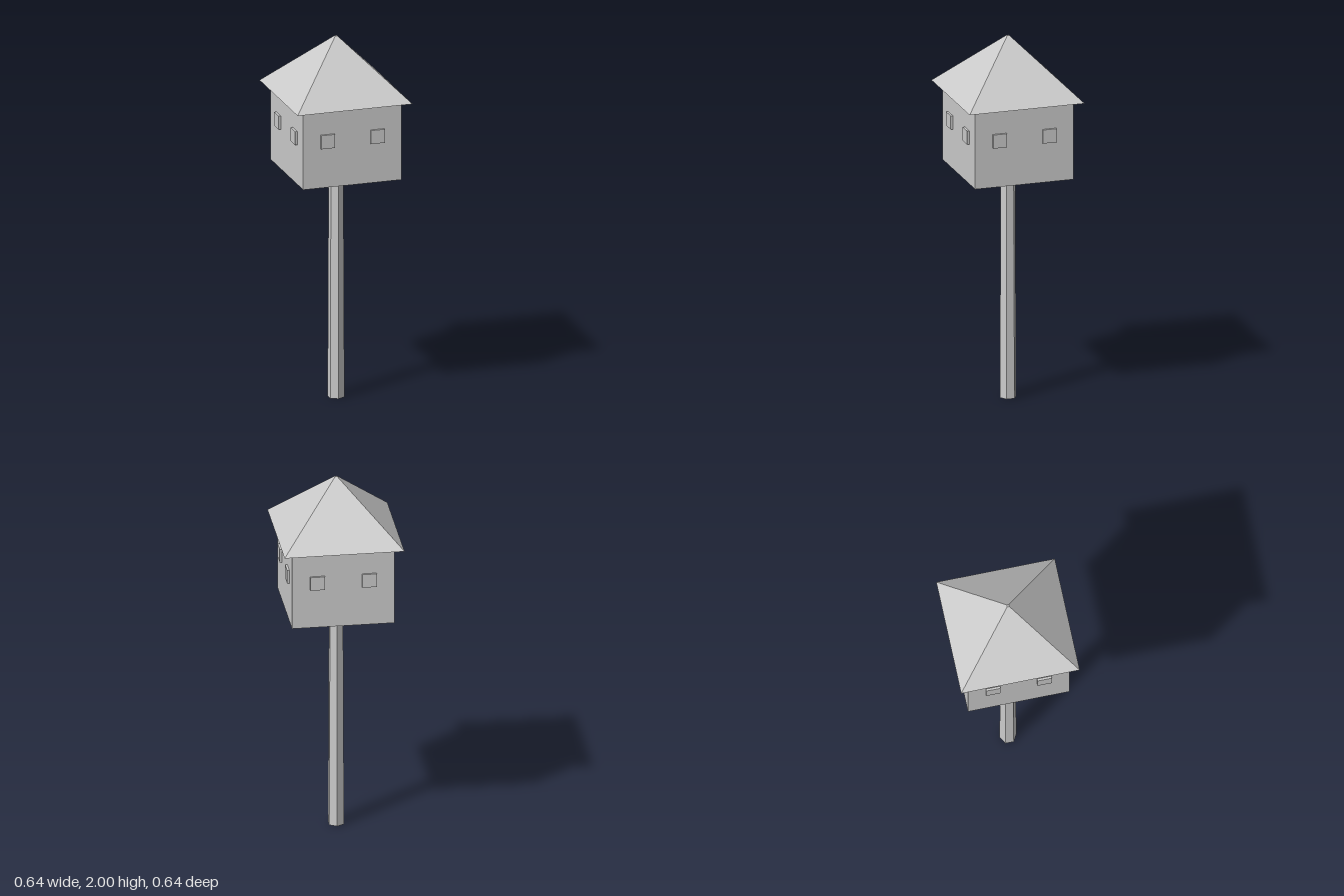
import * as THREE from 'three';

export function createModel() {
  const group = new THREE.Group();
  const material = new THREE.MeshStandardMaterial({ color: 0xcccccc, flatShading: true });

  const add = (name, geometry, parent = group) => {
    const mesh = new THREE.Mesh(geometry, material);
    mesh.name = name;
    parent.add(mesh);
    return mesh;
  };

  const floorY = 1.258, eavesY = 1.687, topY = 2;
  const half = 0.273;

  // Tapered hexagonal post
  add('post', new THREE.CylinderGeometry(0.04, 0.0455, floorY, 6)).position.y = floorY / 2;

  // Square house body
  const body = add('houseBody', new THREE.BoxGeometry(half * 2, eavesY - floorY, half * 2));
  body.position.y = (floorY + eavesY) / 2;

  // Pyramid roof with a tiny flat tip
  const roofHeight = topY - eavesY;
  const roof = new THREE.CylinderGeometry(0.006 * Math.SQRT2, 0.319 * Math.SQRT2, roofHeight, 4);
  roof.rotateY(Math.PI / 4);
  add('roof', roof).position.y = eavesY + roofHeight / 2;

  // Two raised windows on each of the four walls
  const windowGeometry = new THREE.BoxGeometry(0.077, 0.075, 0.024);
  for (let side = 0; side < 4; side++) {
    const wall = new THREE.Group();
    wall.name = 'wallWindows';
    wall.rotation.y = side * Math.PI / 2;
    for (const x of [-0.138, 0.138]) {
      add('window', windowGeometry, wall).position.set(x, 1.514, half);
    }
    group.add(wall);
  }

  return group;
}
